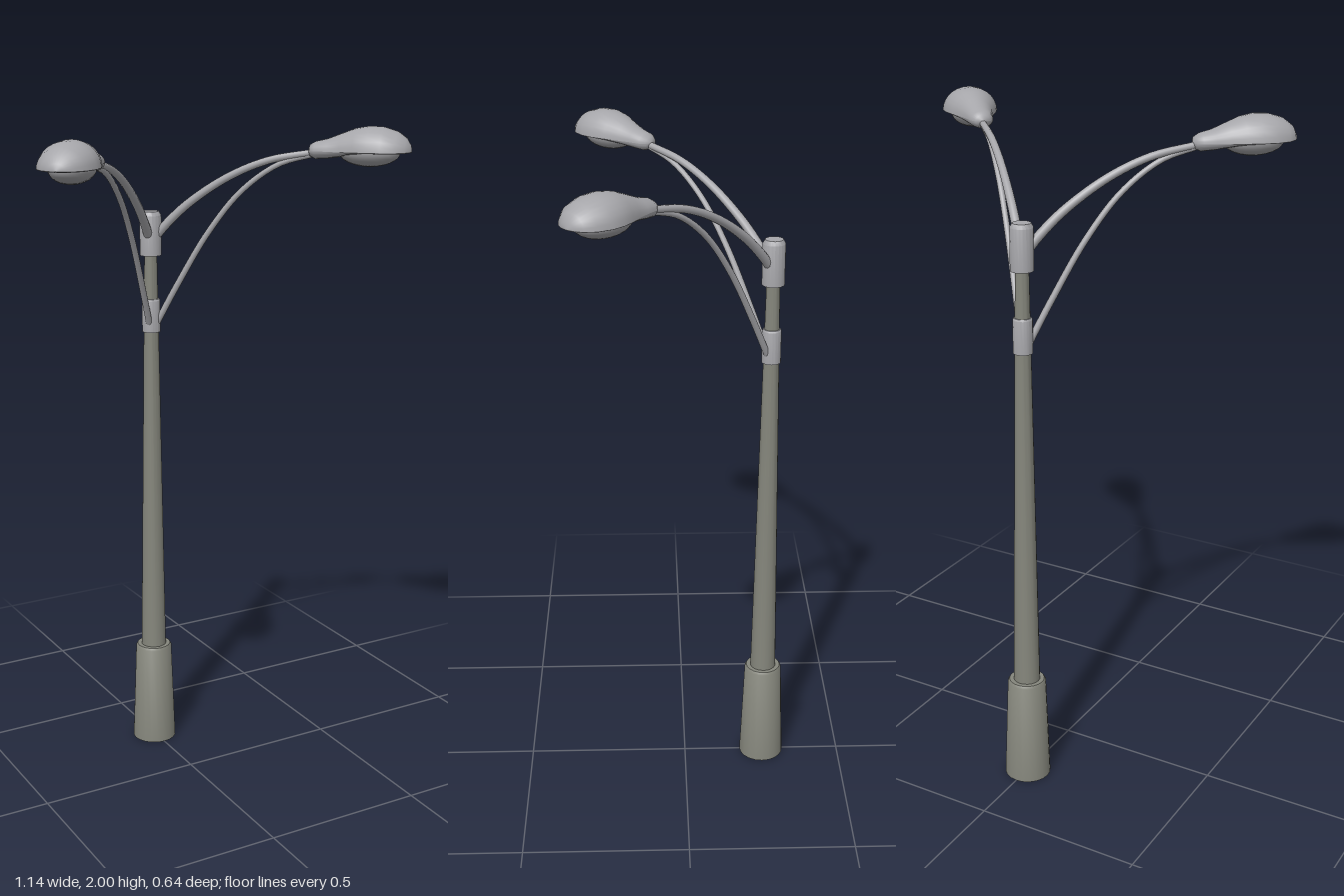
import * as THREE from 'three';
import { toCreasedNormals } from 'three/addons/utils/BufferGeometryUtils.js';

const poleMat = new THREE.MeshStandardMaterial({ name: 'olive grey pole', color: 0x85867c });
const metalMat = new THREE.MeshStandardMaterial({ name: 'light grey metal', color: 0xa6a6aa });
const lensMat = new THREE.MeshStandardMaterial({ name: 'lens grey', color: 0x9a9a9d });

function mesh(name, geometry, material) {
  const m = new THREE.Mesh(geometry, material);
  m.name = name;
  return m;
}

// Turned part from [radius, y] pairs, listed bottom to top
function turned(name, profile, material) {
  const pts = profile.map(([r, y]) => new THREE.Vector2(r, y));
  return mesh(name, toCreasedNormals(new THREE.LatheGeometry(pts, 20), 0.6), material);
}

// Curved tube in the local xy plane that narrows from r0 to r1
function taperedTube(name, points, r0, r1) {
  const curve = new THREE.CatmullRomCurve3(points.map(([x, y]) => new THREE.Vector3(x, y, 0)));
  const seg = 28, sides = 10;
  const geo = new THREE.TubeGeometry(curve, seg, r0, sides);
  const pos = geo.attributes.position, v = new THREE.Vector3();
  for (let i = 0; i < pos.count; i++) {
    const t = Math.floor(i / (sides + 1)) / seg;
    const c = curve.getPointAt(t);
    v.fromBufferAttribute(pos, i).sub(c).multiplyScalar(1 + (r1 / r0 - 1) * t).add(c);
    pos.setXYZ(i, v.x, v.y, v.z);
  }
  return mesh(name, geo, metalMat);
}

// Lamp head sections: distance out, half width, rim height, rise above, drop below
const sections = [
  [0.478, 0.001, 1.927, 0.001, 0.001],
  [0.484, 0.022, 1.927, 0.018, 0.016],
  [0.500, 0.034, 1.928, 0.026, 0.024],
  [0.535, 0.040, 1.928, 0.034, 0.022],
  [0.575, 0.050, 1.928, 0.050, 0.016],
  [0.615, 0.067, 1.929, 0.064, 0.008],
  [0.655, 0.079, 1.930, 0.070, 0.005],
  [0.695, 0.080, 1.930, 0.068, 0.005],
  [0.735, 0.068, 1.930, 0.056, 0.005],
  [0.760, 0.047, 1.930, 0.038, 0.004],
  [0.772, 0.025, 1.930, 0.019, 0.002],
  [0.776, 0.001, 1.930, 0.001, 0.001],
];

// Upper or lower half of the head, lofted through the sections
function headShell(name, upper) {
  const n = 14, pos = [], idx = [];
  sections.forEach(([x, w, y, up, down], i) => {
    for (let j = 0; j <= n; j++) {
      const a = Math.PI * (j / n + (upper ? 0 : 1));
      pos.push(x, y + Math.sin(a) * (upper ? up : down), Math.cos(a) * w);
      if (i < sections.length - 1 && j < n) {
        const p = i * (n + 1) + j, q = p + n + 1;
        idx.push(p, q, p + 1, q, q + 1, p + 1);
      }
    }
  });
  const geo = new THREE.BufferGeometry();
  geo.setAttribute('position', new THREE.Float32BufferAttribute(pos, 3));
  geo.setIndex(idx);
  geo.computeVertexNormals();
  return mesh(name, geo, metalMat);
}

// One arm with brace and lamp head, reaching along local +x
function lampArm(name) {
  const arm = new THREE.Group();
  arm.name = name;
  arm.add(taperedTube('upperArm',
    [[0.015, 1.66], [0.05, 1.70], [0.12, 1.765], [0.24, 1.845], [0.36, 1.896], [0.50, 1.923]], 0.014, 0.010));
  arm.add(taperedTube('lowerBrace',
    [[0.012, 1.385], [0.085, 1.52], [0.18, 1.68], [0.28, 1.805], [0.39, 1.885], [0.50, 1.918]], 0.010, 0.008));
  arm.add(headShell('lampHousing', true), headShell('lampUnderside', false));

  // Bulging lens below the head
  const lens = mesh('lampLens',
    new THREE.SphereGeometry(1, 24, 8, 0, Math.PI * 2, Math.PI / 2, Math.PI / 2), lensMat);
  lens.scale.set(0.088, 0.041, 0.06);
  lens.position.set(0.655, 1.927, 0);
  arm.add(lens);
  return arm;
}

export function createModel() {
  const model = new THREE.Group();
  model.name = 'streetLamp';
  const lamp = new THREE.Group();
  lamp.name = 'lampAssembly';
  lamp.position.z = -0.25;
  model.add(lamp);

  // Base and tapering pole
  lamp.add(turned('base', [[0, 0], [0.07, 0], [0.058, 0.322], [0.053, 0.33], [0, 0.33]], poleMat));
  lamp.add(turned('pole', [[0.04, 0.32], [0.018, 1.70]], poleMat));

  // Collars that hold the arms
  lamp.add(turned('lowerCollar',
    [[0, 1.37], [0.028, 1.37], [0.028, 1.467], [0.025, 1.472], [0, 1.472]], metalMat));
  lamp.add(turned('topCollar',
    [[0, 1.605], [0.033, 1.605], [0.033, 1.725], [0.026, 1.737], [0, 1.737]], metalMat));

  // Two arms, spread 45 degrees to either side of the front
  [['leftArm', -Math.PI / 4], ['rightArm', -3 * Math.PI / 4]].forEach(([name, turn]) => {
    const arm = lampArm(name);
    arm.rotation.y = turn;
    lamp.add(arm);
  });
  return model;
}
